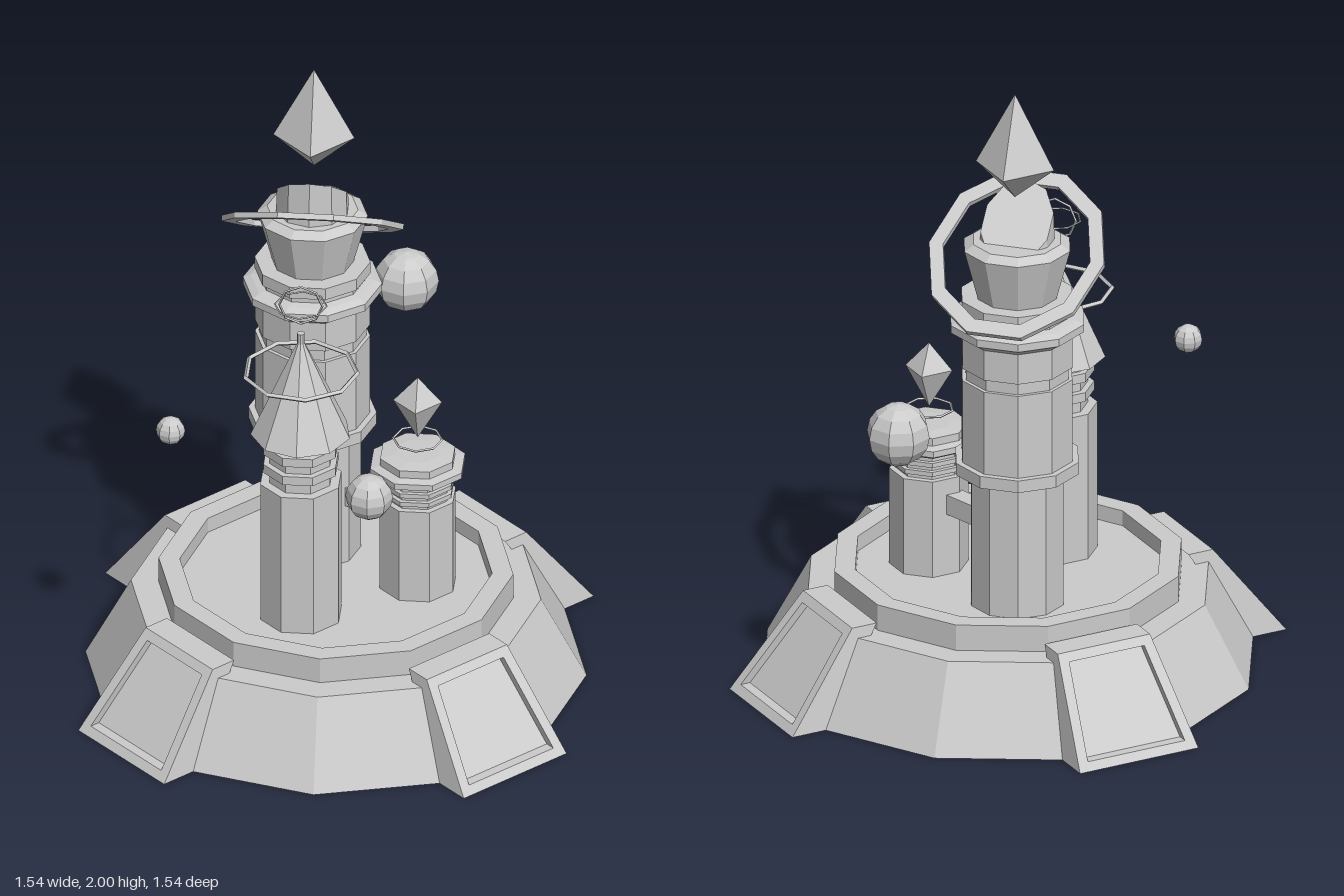
import * as THREE from 'three';

const material = new THREE.MeshStandardMaterial({ color: 0xcccccc, flatShading: true, side: THREE.DoubleSide });

function add(parent, name, geometry, x = 0, y = 0, z = 0) {
  const mesh = new THREE.Mesh(geometry, material);
  mesh.name = name;
  mesh.position.set(x, y, z);
  parent.add(mesh);
  return mesh;
}

// Faceted turned shape from [radius, height] pairs, bottom to top
function turned(profile, sides) {
  return new THREE.LatheGeometry(profile.map(([r, y]) => new THREE.Vector2(r, y)), sides);
}

// Thin horizontal hoop
function hoop(radius, tube, sides) {
  return new THREE.TorusGeometry(radius, tube, 4, sides).rotateX(Math.PI / 2);
}

// Four-sided crystal with its widest point at y = 0
function crystal(radius, up, down) {
  return turned([[0, -down], [radius, 0], [0, up]], 4);
}

// Loop of four corners on a sloping, tapering panel
function panelLoop(w0, y0, z0, w1, y1, z1) {
  return [[-w0, y0, z0], [w0, y0, z0], [w1, y1, z1], [-w1, y1, z1]];
}

// Skin successive four-corner loops and cap the last one
function loftLoops(loops) {
  const positions = [];
  const quad = (a, b, c, d) => positions.push(...a, ...b, ...c, ...a, ...c, ...d);
  for (let k = 0; k < loops.length - 1; k++) {
    for (let i = 0; i < 4; i++) {
      const j = (i + 1) % 4;
      quad(loops[k][i], loops[k][j], loops[k + 1][j], loops[k + 1][i]);
    }
  }
  quad(...loops[loops.length - 1]);
  const geometry = new THREE.BufferGeometry();
  geometry.setAttribute('position', new THREE.Float32BufferAttribute(positions, 3));
  geometry.computeVertexNormals();
  return geometry;
}

export function createModel() {
  const model = new THREE.Group();
  model.name = 'floatingCrystalCitadel';

  // Hollow twelve-sided base with raised rim and sunken courtyard
  add(model, 'base', turned([
    [0.77, 0], [0.63, 0.265], [0.545, 0.265], [0.545, 0.35], [0.48, 0.35], [0.48, 0.3], [0, 0.3],
  ], 12));

  // Four diagonal buttresses with recessed panels
  const buttressGeometry = loftLoops([
    panelLoop(0.205, 0, 0.73, 0.16, 0.3, 0.54),
    panelLoop(0.205, 0, 0.856, 0.16, 0.3, 0.625),
    panelLoop(0.168, 0.025, 0.837, 0.13, 0.275, 0.644),
    panelLoop(0.168, 0.025, 0.805, 0.13, 0.275, 0.612),
  ]);
  for (let i = 0; i < 4; i++) {
    add(model, 'buttress', buttressGeometry).rotation.y = Math.PI / 4 + i * Math.PI / 2;
  }

  // Tall tower
  const tall = new THREE.Group();
  tall.name = 'tallTower';
  tall.position.set(-0.09, 0, -0.2);
  model.add(tall);
  add(tall, 'tallTowerBody', turned([
    [0, 0.3], [0.148, 0.3], [0.148, 0.745], [0.197, 0.745], [0.197, 0.785], [0.177, 0.785],
    [0.177, 1.06], [0.165, 1.06], [0.165, 1.1], [0.177, 1.1], [0.177, 1.2], [0.19, 1.21],
    [0.214, 1.225], [0.214, 1.25], [0.19, 1.26], [0.165, 1.265], [0.165, 1.285],
    [0.178, 1.285], [0.178, 1.325], [0, 1.325],
  ], 10)).rotation.y = Math.PI / 2;
  add(tall, 'flaredCup', turned([
    [0.125, 1.32], [0.17, 1.49], [0.14, 1.51], [0, 1.51],
  ], 10)).rotation.y = Math.PI / 2;

  // Obliquely cut drum above the cup
  const drum = new THREE.CylinderGeometry(0.112, 0.118, 0.2, 10);
  const p = drum.attributes.position;
  for (let i = 0; i < p.count; i++) {
    p.setY(i, p.getY(i) > 0 ? 1.565 + 0.88 * p.getZ(i) : 1.43);
  }
  drum.computeVertexNormals();
  add(tall, 'slantedDrum', drum);

  // Tilted flat band around the drum
  const band = add(tall, 'tiltedRing', turned([
    [0.235, -0.009], [0.28, -0.009], [0.28, 0.009], [0.235, 0.009], [0.235, -0.009],
  ], 10).rotateY(Math.PI / 2), 0, 1.457, 0);
  band.scale.z = 1.11;
  band.rotation.x = -0.615;
  add(tall, 'largeCrystal', crystal(0.125, 0.24, 0.105), 0.003, 1.76, -0.012);

  // Spired tower at the front
  const spired = new THREE.Group();
  spired.name = 'spiredTower';
  spired.position.set(-0.09, 0, 0.2);
  model.add(spired);
  add(spired, 'spiredTowerBody', turned([
    [0, 0.3], [0.13, 0.3], [0.13, 0.785], [0.1, 0.785], [0.1, 0.825], [0.12, 0.825],
    [0.12, 0.855], [0.1, 0.855], [0.1, 0.89], [0.12, 0.89], [0.12, 0.92], [0.1, 0.92], [0.1, 0.96],
  ], 8)).rotation.y = Math.PI / 8;
  add(spired, 'spire', turned([[0, 0.95], [0.155, 0.95], [0.012, 1.27], [0.012, 1.305], [0, 1.305]], 9));
  add(spired, 'spireHalo', hoop(0.174, 0.008, 9), 0, 1.17, 0);
  add(spired, 'floatingRingFlat', hoop(0.08, 0.003, 8), 0, 1.405, 0);
  add(spired, 'floatingRingUpright', new THREE.TorusGeometry(0.066, 0.004, 4, 8), 0, 1.405, 0);

  // Small tower
  const small = new THREE.Group();
  small.name = 'smallTower';
  small.position.set(0.25, 0, -0.01);
  model.add(small);
  add(small, 'smallTowerBody', turned([
    [0.122, 0.24], [0.122, 0.62], [0.102, 0.62], [0.102, 0.635], [0.116, 0.635], [0.116, 0.65],
    [0.102, 0.65], [0.102, 0.665], [0.116, 0.665], [0.116, 0.68], [0.102, 0.68], [0.102, 0.695],
    [0.125, 0.7], [0.152, 0.715], [0.152, 0.735], [0.12, 0.74], [0.12, 0.765], [0.07, 0.77], [0, 0.77],
  ], 8)).rotation.y = Math.PI / 8;
  add(small, 'smallTowerRing', hoop(0.075, 0.004, 8), 0, 0.815, 0);
  add(small, 'smallCrystal', crystal(0.075, 0.085, 0.13), 0, 0.95, 0);

  // Walkway joining the tall and small towers
  const walkway = add(model, 'walkway', new THREE.BoxGeometry(0.26, 0.065, 0.06), 0.08, 0.535, -0.105);
  walkway.rotation.y = -Math.atan2(0.19, 0.34);

  // Floating orbs
  for (const [r, x, z] of [[0.1, 0.16, -0.625], [0.073, 0.16, 0.645], [0.045, -0.48, 0.315]]) {
    add(model, 'orb', new THREE.SphereGeometry(r, 8, 8), x, 1.005, z);
  }
  return model;
}
